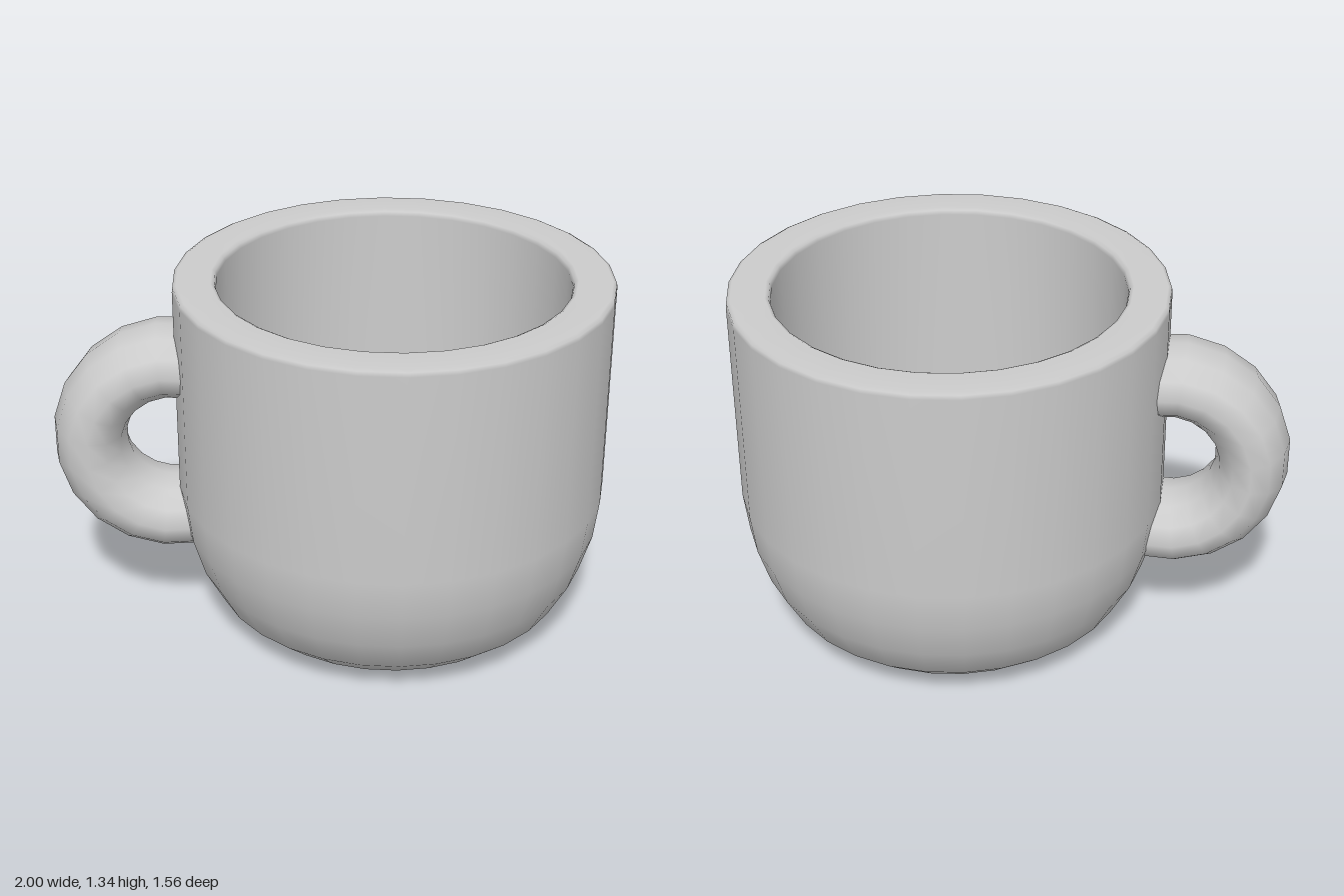
import * as THREE from 'three';

export function createModel() {
  const model = new THREE.Group();
  const material = new THREE.MeshStandardMaterial({ color: 0xcccccc });

  function add(name, geometry, x, y) {
    const mesh = new THREE.Mesh(geometry, material);
    mesh.name = name;
    mesh.position.set(x, y, 0);
    model.add(mesh);
  }

  // Thick-walled cup: outside from base to rim, then inside down to the floor
  const profile = [
    [0, 0], [0.3, 0], [0.43, 0.008], [0.55, 0.045], [0.65, 0.13], [0.72, 0.26],
    [0.762, 0.4], [0.78, 0.55], [0.78, 1.32], [0.778, 1.336], [0.765, 1.343],
    [0.645, 1.343], [0.632, 1.336], [0.627, 1.32],
    [0.627, 0.57], [0.61, 0.45], [0.57, 0.33], [0.51, 0.235], [0.42, 0.175],
    [0.3, 0.152], [0, 0.15],
  ].map(([r, y]) => new THREE.Vector2(r, y));
  add('cup', new THREE.LatheGeometry(profile, 30), 0.224, 0);

  // Handle: partial ring with an oval section, its ends sunk into the wall
  const arc = THREE.MathUtils.degToRad(203.5);
  const handle = new THREE.TorusGeometry(0.305, 0.133, 12, 11, arc);
  handle.rotateZ(Math.PI - arc / 2);
  handle.scale(1, 1, 1.47);
  add('handle', handle, -0.568, 0.732);

  return model;
}
